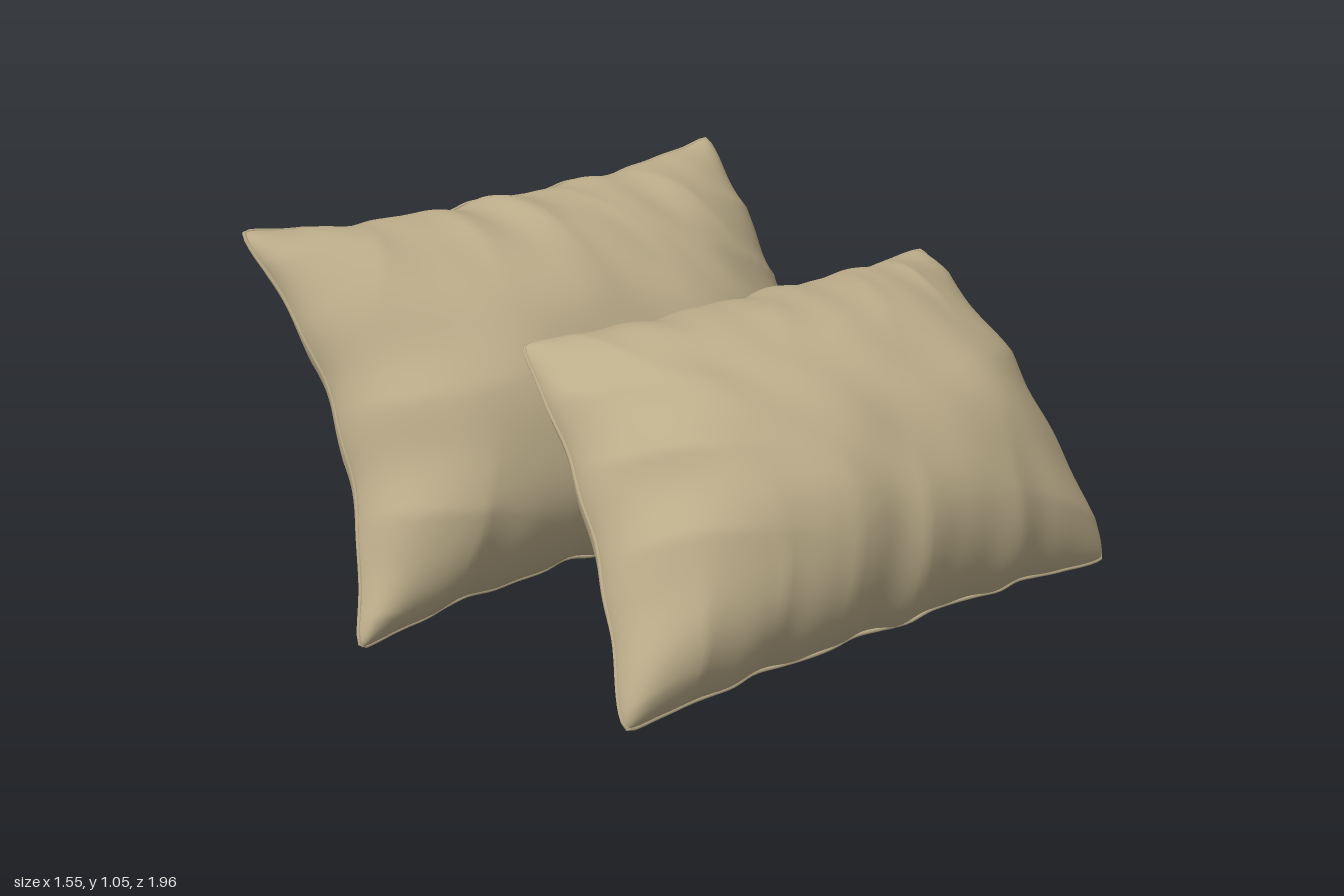
import * as THREE from 'three';

const fabric = new THREE.MeshStandardMaterial({ color: 0xbbac89 });
fabric.name = 'beige fabric';

const V = (x, y, z) => new THREE.Vector3(x, y, z);

// soft creases: puckers gathered along the seams plus broad dents over the middle
function wrinkle(u, v, seed, side) {
  const s = seed + side * 1.7;
  const warp = 0.5 * Math.sin(2.3 * u + 1.9 * v + s);
  const fold = (x) => 1 - 2 * Math.pow(Math.abs(Math.sin(x)), 0.7);
  const longEdge = Math.pow(Math.abs(v), 2.5) * fold(8 * u + 1.5 * warp + 1.5 * v * Math.sin(3 * u + s) + s);
  const shortEdge = Math.pow(Math.abs(u), 3) * fold(5.5 * v + 2.5 * warp + 2 * u + s);
  const dents = Math.sin(5 * u + 3.5 * v + 2 * warp + s) + 0.7 * Math.sin(9 * u - 4 * v + 3 * warp - s)
    + 0.5 * Math.sin(4 * u + 11 * v - s) + 0.5 * Math.sin(19 * u + 8 * v + 4 * warp);
  return 0.018 * longEdge + 0.016 * shortEdge + 0.006 * dents;
}

// point on the pillow: u runs along its length, v from top edge (-1) to bottom edge (1)
function pillowPoint(p, u, v, side) {
  const ripple = Math.sin(17 * u + p.seed) + 0.6 * Math.sin(29 * u - p.seed);
  const corner = 1.012 - 0.035 * Math.pow(u * v, 14);
  const pullEnds = p.pullEnds + p.pullFront * u;
  const a = u * corner * (1 - pullEnds * (1 - v * v) + 0.006 * (1 - v * v) * Math.sin(13 * v + p.seed));
  const b = v * corner * (1 - p.pullSides * (1 - Math.pow(u, 4)) + 0.012 * (1 - u * u) * ripple);
  const top = p.topBack.clone().lerp(p.topFront, (a + 1) / 2);
  const bottom = p.bottomBack.clone().lerp(p.bottomFront, (a + 1) / 2);
  const pos = top.lerp(bottom, (b + 1) / 2);
  // end seams bow toward the upper cover, the top seam sags toward the lower one
  const bow = 0.04 * (1 - v * v) * Math.pow(u, 6);
  const sag = v < 0 ? p.topSag * (1 - u * u) * Math.pow(v, 6) : 0;
  pos.addScaledVector(p.normal, bow - sag);
  const env = Math.max(0, 1 - v * v) * Math.max(0, 1 - Math.pow(u, 4));
  const height = side > 0 ? p.bulgeUp : p.bulgeDown;
  const skew = side > 0 ? 1 + 0.13 * v : 1 + 0.08 * v;
  const plump = Math.pow(Math.max(0, 1 - v * v), 0.53) * Math.pow(Math.max(0, 1 - Math.pow(Math.abs(u), 3)), 0.56);
  const soft = (side > 0 ? 1 : 0.6) * wrinkle(u, v, p.seed, side) * Math.pow(env, 0.35);
  return pos.addScaledVector(p.normal, side * (height * plump * skew + soft));
}

// one half of the cover, with rows packed closer toward the seam
function sheet(p, side) {
  const nu = 120, nv = 84, positions = [], index = [];
  const ease = (i, n) => Math.sin((i / n - 0.5) * Math.PI);
  for (let i = 0; i <= nu; i++) {
    for (let j = 0; j <= nv; j++) {
      positions.push(...pillowPoint(p, ease(i, nu), ease(j, nv), side).toArray());
    }
  }
  for (let i = 0; i < nu; i++) {
    for (let j = 0; j < nv; j++) {
      const a = i * (nv + 1) + j, b = a + nv + 1;
      if (side > 0) index.push(a, b, a + 1, b, b + 1, a + 1);
      else index.push(a, a + 1, b, b, a + 1, b + 1);
    }
  }
  const g = new THREE.BufferGeometry();
  g.setAttribute('position', new THREE.Float32BufferAttribute(positions, 3));
  g.setIndex(index);
  g.computeVertexNormals();
  return g;
}

// thin welt round the border
function seam(p) {
  const n = 30, pts = [];
  const sides = [(t) => [t, -1], (t) => [1, t], (t) => [-t, 1], (t) => [-1, -t]];
  for (const f of sides) {
    for (let i = 0; i < n; i++) pts.push(pillowPoint(p, ...f(Math.sin((i / n - 0.5) * Math.PI)), 1));
  }
  return new THREE.TubeGeometry(new THREE.CatmullRomCurve3(pts, true), 260, 0.006, 6, true);
}

function makePillow(name, p) {
  const along = p.topFront.clone().add(p.bottomFront).sub(p.topBack).sub(p.bottomBack);
  const down = p.bottomFront.clone().add(p.bottomBack).sub(p.topFront).sub(p.topBack);
  p.normal = along.cross(down).normalize();
  const group = new THREE.Group();
  group.name = name;
  const add = (part, geometry) => {
    const m = new THREE.Mesh(geometry, fabric);
    m.name = part;
    group.add(m);
  };
  add('upperCover', sheet(p, 1));
  add('lowerCover', sheet(p, -1));
  add('seam', seam(p));
  return group;
}

export function createModel() {
  const model = new THREE.Group();
  model.name = 'pillows';
  // steeper pillow leaning back
  model.add(makePillow('rightPillow', {
    topFront: V(-0.68, 1.03, 0.95), topBack: V(-0.74, 1.07, -0.69),
    bottomFront: V(-0.09, 0.04, 0.99), bottomBack: V(-0.16, 0.02, -0.78),
    bulgeUp: 0.395, bulgeDown: 0.25, pullEnds: 0.112, pullFront: 0.028, pullSides: 0.11, topSag: 0.04, seed: 0.8,
  }));
  // lower pillow resting against it
  model.add(makePillow('leftPillow', {
    topFront: V(-0.06, 0.78, 0.49), topBack: V(-0.08, 0.79, -0.99),
    bottomFront: V(0.62, 0.01, 0.68), bottomBack: V(0.74, 0.05, -0.94),
    bulgeUp: 0.385, bulgeDown: 0.225, pullEnds: 0.075, pullFront: -0.01, pullSides: 0.075, topSag: 0.02, seed: 3.1,
  }));
  return model;
}
